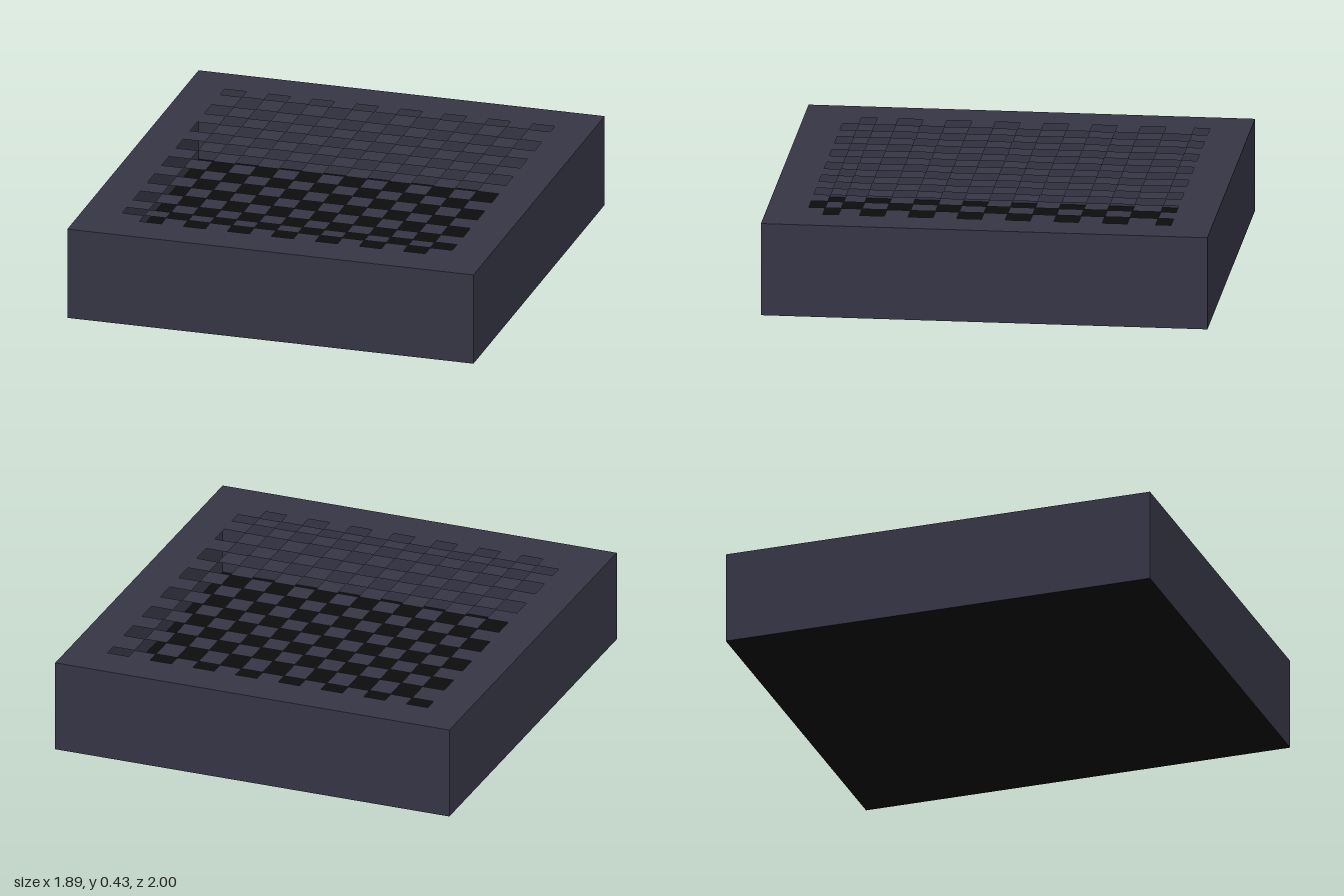
import * as THREE from 'three';

const W = 1.89, H = 0.425, D = 2;

export function createModel() {
  const model = new THREE.Group();
  const shell = new THREE.MeshStandardMaterial({ color: 0x353545, side: THREE.DoubleSide });
  const dark = new THREE.MeshStandardMaterial({ color: 0x0d0d0d, side: THREE.DoubleSide });

  // Flat horizontal sheet spanning x0..x1 and z0..z1
  function sheet(name, parent, x0, x1, z0, z1, y, material) {
    const geometry = new THREE.PlaneGeometry(x1 - x0, z1 - z0).rotateX(-Math.PI / 2);
    const mesh = new THREE.Mesh(geometry, material);
    mesh.position.set((x0 + x1) / 2, y, (z0 + z1) / 2);
    mesh.name = name;
    parent.add(mesh);
  }

  // Thin outer walls
  const walls = [['frontWall', 0, W, D], ['leftWall', 1, D, W], ['backWall', 2, W, D], ['rightWall', 3, D, W]];
  for (const [name, turn, width, span] of walls) {
    const geometry = new THREE.PlaneGeometry(width, H).translate(0, H / 2, span / 2);
    const wall = new THREE.Mesh(geometry.rotateY(turn * Math.PI / 2), shell);
    wall.name = name;
    model.add(wall);
  }

  // Dark floor, seen through the openings
  sheet('floor', model, -W / 2, W / 2, -D / 2, D / 2, 0, dark);

  // Solid rim of the lid
  const gx = 0.768, gz = 0.817;
  const rim = new THREE.Group();
  rim.name = 'lidRim';
  model.add(rim);
  sheet('backRim', rim, -W / 2, W / 2, -D / 2, -gz, H, shell);
  sheet('frontRim', rim, -W / 2, W / 2, gz, D / 2, H, shell);
  sheet('rightRim', rim, -W / 2, -gx, -gz, gz, H, shell);
  sheet('leftRim', rim, gx, W / 2, -gz, gz, H, shell);

  // Checkered grille: solid tiles alternate with openings; the end rows are shorter
  const grille = new THREE.Group();
  grille.name = 'checkeredGrille';
  model.add(grille);
  const rows = [-gz, -0.748, -0.621, -0.509, -0.403, -0.292, -0.186, -0.074, 0.032,
    0.143, 0.249, 0.361, 0.467, 0.578, 0.672, 0.743, gz];
  const columns = 15, step = 2 * gx / columns;
  for (let r = 0; r < rows.length - 1; r++) {
    for (let c = 0; c < columns; c++) {
      if ((r + c) % 2 === 0) continue;
      const x = -gx + c * step;
      sheet('grilleTile', grille, x, x + step, rows[r], rows[r + 1], H, shell);
    }
  }
  return model;
}
